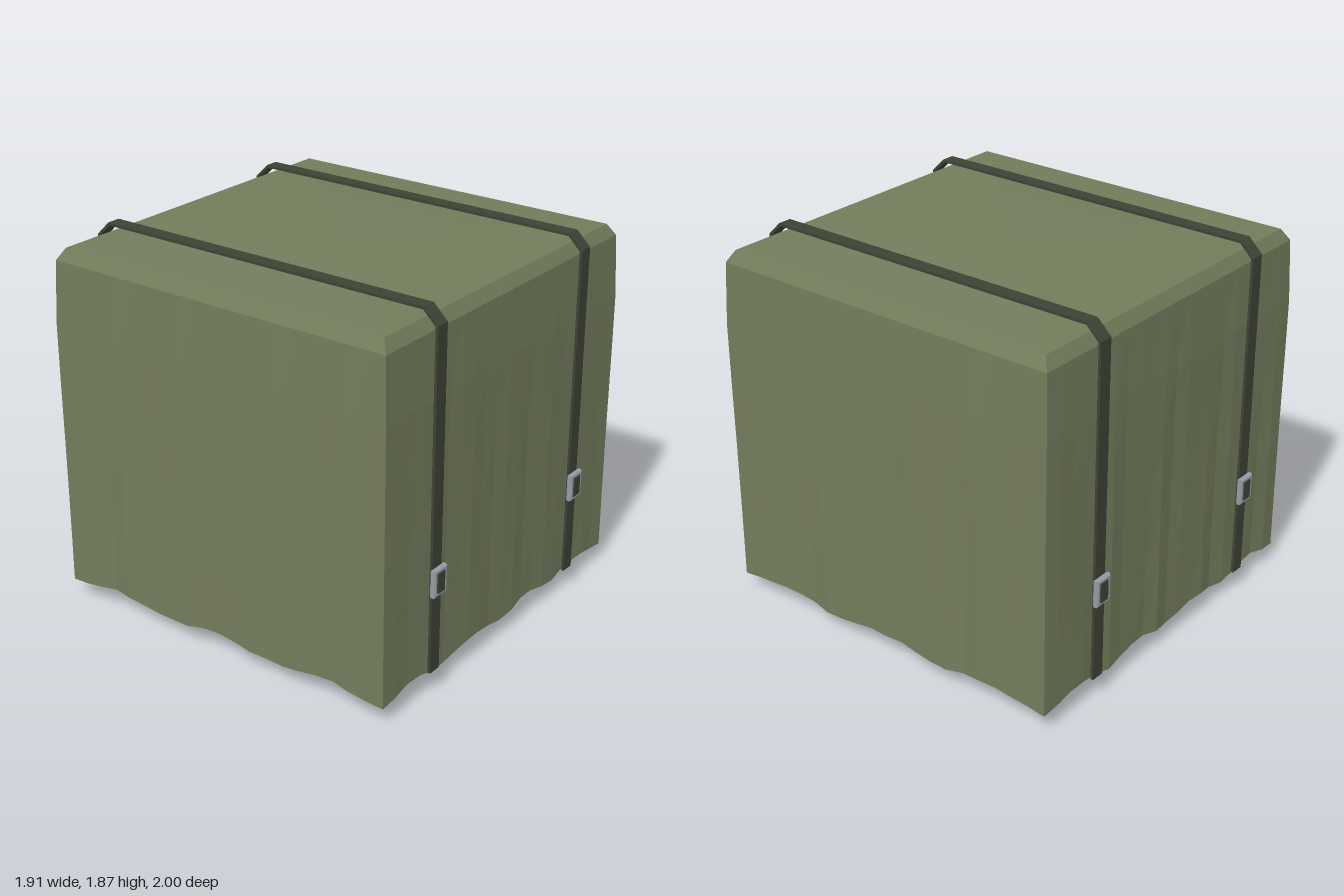
import * as THREE from 'three';
import { RoundedBoxGeometry } from 'three/addons/geometries/RoundedBoxGeometry.js';

const material = (color, extra = {}) => {
  const m = new THREE.MeshStandardMaterial({ color, ...extra });
  return m;
};

function add(parent, name, geometry, mat, x = 0, y = 0, z = 0) {
  const mesh = new THREE.Mesh(geometry, mat);
  mesh.name = name;
  mesh.position.set(x, y, z);
  parent.add(mesh);
  return mesh;
}

// Draped cloth: square rings with vertical folds and a wavy hem
function coverGeometry() {
  const N = 20;
  const rings = [ // [height, half width, fold strength]
    [0.1, 0.947, 1], [0.45, 0.946, 0.9], [0.8, 0.946, 0.75], [1.15, 0.947, 0.55],
    [1.45, 0.947, 0.35], [1.76, 0.935, 0.1], [1.818, 0.9, 0], [1.836, 0.42, 0],
  ];
  const pos = [], index = [], count = 4 * N;
  rings.forEach(([h, half, fold], j) => {
    for (let k = 0; k < count; k++) {
      const side = Math.floor(k / N);
      const u = (k % N) / N * 2 - 1;
      const pin = Math.min(1, (1 - Math.abs(u)) * 8);
      const ripple = 0.006 * Math.sin(u * 18 + side * 1.7 + h) + 0.004 * Math.sin(u * 31 + side * 2.3);
      const out = half + fold * pin * ripple;
      const hem = side % 2 ? Math.cos(3 * Math.PI * u) : -Math.cos(4 * Math.PI * u);
      const y = j === 0 ? h + 0.016 * hem : h;
      const p = new THREE.Vector3(u * half, y, out);
      p.applyAxisAngle(new THREE.Vector3(0, 1, 0), side * Math.PI / 2);
      pos.push(p.x, p.y, p.z);
      if (j > 0) {
        const n = (k + 1) % count, lo = (j - 1) * count, hi = j * count;
        index.push(lo + k, lo + n, hi + n, lo + k, hi + n, hi + k);
      }
    }
  });
  const centre = pos.length / 3, last = (rings.length - 1) * count;
  pos.push(0, 1.842, 0);
  for (let k = 0; k < count; k++) index.push(last + k, last + (k + 1) % count, centre);
  const g = new THREE.BufferGeometry();
  g.setAttribute('position', new THREE.Float32BufferAttribute(pos, 3));
  g.setIndex(index);
  g.computeVertexNormals();
  return g;
}

// Strap band: a thin folded strip in the z-y plane, extruded across its width
function strapGeometry(width) {
  const outer = [[0.972, 0.11], [0.972, 1.795], [0.9, 1.865]];
  const inner = [[0.958, 0.11], [0.958, 1.789], [0.894, 1.851]];
  const mirror = (pts) => pts.map(([z, y]) => [-z, y]).reverse();
  const path = [...outer, ...mirror(outer), ...mirror(inner).reverse(), ...inner.slice().reverse()];
  // order: outer right to left, then back along the inside
  const loop = [...outer, ...mirror(outer), ...inner.map(([z, y]) => [-z, y]), ...inner.slice().reverse()];
  const shape = new THREE.Shape((loop.length === path.length ? loop : path).map(([z, y]) => new THREE.Vector2(z, y)));
  const g = new THREE.ExtrudeGeometry(shape, { depth: width, bevelEnabled: false });
  g.translate(0, 0, -width / 2);
  g.rotateY(-Math.PI / 2);
  return g;
}

function rectangle(Type, w, h) {
  return new Type([[-w, -h], [w, -h], [w, h], [-w, h]].map(([x, y]) => new THREE.Vector2(x / 2, y / 2)));
}

function buckleGeometry() {
  const shape = rectangle(THREE.Shape, 0.084, 0.124);
  shape.holes.push(rectangle(THREE.Path, 0.064, 0.104));
  return new THREE.ExtrudeGeometry(shape, {
    depth: 0.016, bevelEnabled: true, bevelThickness: 0.007, bevelSize: 0.007, bevelSegments: 1,
  });
}

export function createModel() {
  const model = new THREE.Group();
  model.name = 'coveredPallet';
  const canvas = material(0x737c5c, { flatShading: true, side: THREE.DoubleSide });
  const wood = material(0x9a7b58);
  const webbing = material(0x3d4235);
  const steel = material(0x969ba3);

  add(model, 'cover', coverGeometry(), canvas);

  // Pallet under the load
  const pallet = new THREE.Group();
  pallet.name = 'pallet';
  model.add(pallet);
  for (const s of [-1, 1]) {
    add(pallet, 'skid', new RoundedBoxGeometry(0.19, 0.125, 1.69, 1, 0.008), wood, s * 0.685, 0.0625, 0);
  }
  const boards = 7, pitch = 1.75 / boards;
  for (let i = 0; i < boards; i++) {
    add(pallet, 'deckBoard', new RoundedBoxGeometry(pitch - 0.012, 0.05, 1.74, 1, 0.005), wood,
      (i - (boards - 1) / 2) * pitch, 0.148, 0);
  }

  // Straps with a buckle on the front and the back
  for (const s of [-1, 1]) {
    const strap = new THREE.Group();
    strap.name = 'strap';
    strap.position.x = s * 0.585;
    model.add(strap);
    add(strap, 'band', strapGeometry(0.07), webbing);
    for (const turn of [0, Math.PI]) {
      const buckle = new THREE.Group();
      buckle.name = 'buckle';
      buckle.rotation.y = turn;
      strap.add(buckle);
      add(buckle, 'buckleFrame', buckleGeometry(), steel, 0, 0.58, 0.974);
      add(buckle, 'buckleTongue', new THREE.BoxGeometry(0.052, 0.1, 0.03), webbing, 0, 0.58, 0.985);
    }
  }
  return model;
}
